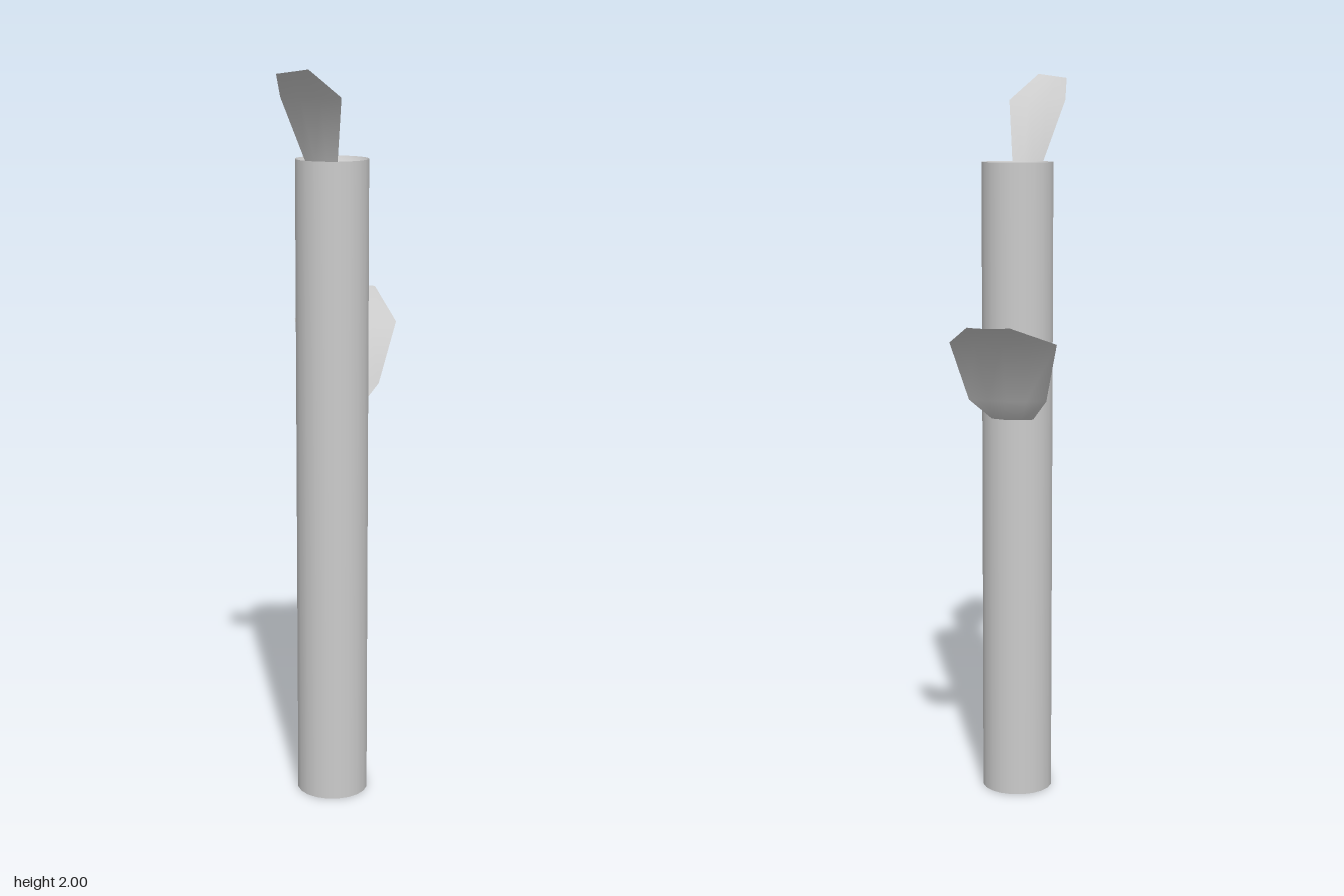
import * as THREE from 'three';

const SIDES = 20, RADIUS = 0.098, HEIGHT = 1.76, CENTRE_Z = 0.06;
const material = new THREE.MeshStandardMaterial({ color: 0xcccccc, side: THREE.DoubleSide });

function addMesh(group, name, geometry) {
  const mesh = new THREE.Mesh(geometry, material);
  mesh.name = name;
  group.add(mesh);
  return mesh;
}

// Thin leaf lofted through rows: { a: one edge, b: other edge, bulge: z bow of the middle }
function leafGeometry(rows, columns) {
  const positions = [], index = [];
  rows.forEach(({ a, b, bulge }, r) => {
    for (let c = 0; c < columns; c++) {
      const t = c / (columns - 1);
      const p = new THREE.Vector3(...a).lerp(new THREE.Vector3(...b), t);
      positions.push(p.x, p.y, p.z + bulge * 4 * t * (1 - t));
      if (r > 0 && c > 0) {
        const i = r * columns + c, j = i - columns;
        index.push(j - 1, i, i - 1, j - 1, j, i);
      }
    }
  });
  const geometry = new THREE.BufferGeometry();
  geometry.setAttribute('position', new THREE.Float32BufferAttribute(positions, 3));
  geometry.setIndex(index);
  geometry.computeVertexNormals();
  return geometry;
}

export function createModel() {
  const model = new THREE.Group();
  model.name = 'bambooStalk';

  // Tubular stalk, open at the bottom
  const stalk = addMesh(model, 'stalk',
    new THREE.CylinderGeometry(RADIUS, RADIUS, HEIGHT, SIDES, 1, true));
  stalk.position.set(0, HEIGHT / 2, CENTRE_Z);

  // Shallow dish closing the cut top
  const dish = addMesh(model, 'topDish', new THREE.LatheGeometry([
    new THREE.Vector2(0, -0.025),
    new THREE.Vector2(0.085, -0.025),
    new THREE.Vector2(RADIUS, 0),
  ].reverse(), SIDES));
  dish.position.set(0, HEIGHT, CENTRE_Z);

  // Small leaf growing forward from the top rim
  addMesh(model, 'topLeaf', leafGeometry([
    { a: [-0.058, 1.76, 0.139], b: [0.03, 1.76, 0.153], bulge: 0.011 },
    { a: [-0.107, 1.925, 0.215], b: [0.053, 1.925, 0.237], bulge: 0.012 },
    { a: [-0.09, 1.987, 0.355], b: [-0.005, 1.999, 0.387], bulge: 0.015 },
  ], 4));

  // Large symmetric leaf growing backward from the stalk: [half width, y, z, bulge]
  const backRows = [
    [0.057, 1.07, -0.02, -0.018],
    [0.105, 1.133, -0.097, -0.015],
    [0.143, 1.295, -0.166, -0.014],
    [0.055, 1.36, -0.373, -0.019],
  ].map(([w, y, z, bulge]) => ({ a: [w, y, z], b: [-w, y, z], bulge }));
  addMesh(model, 'backLeaf', leafGeometry(backRows, 5));

  return model;
}
